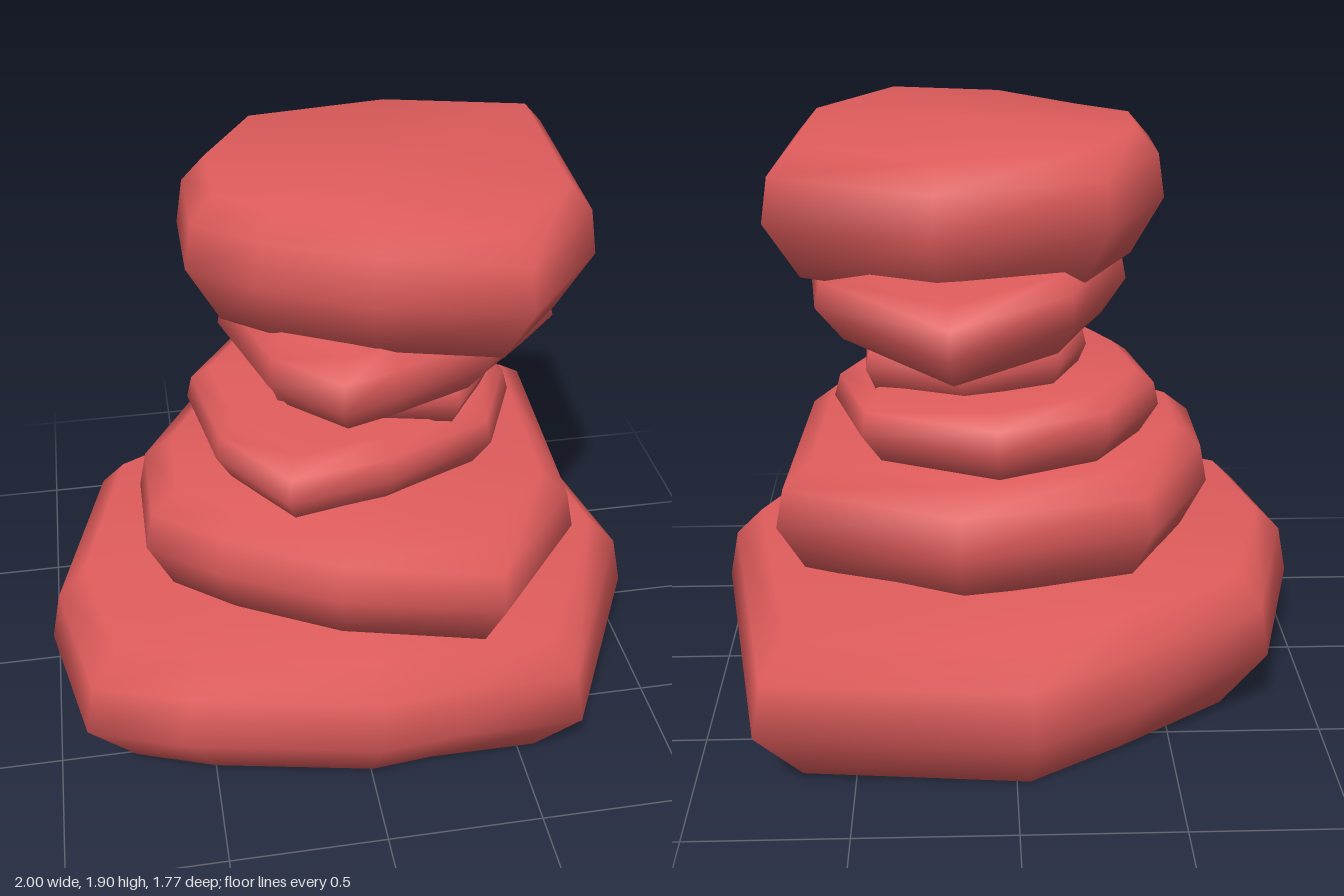
import * as THREE from 'three';

// Three outlines as [x, z], running back -> +x -> front -> -x
const SLAB = [[-0.05, -0.89], [0.79, -0.86], [1, 0.18], [0.66, 0.83], [0.24, 0.85], [0, 0.88],
  [-0.6, 0.73], [-0.9, 0.61], [-1, 0.15], [-0.82, -0.46], [-0.4, -0.71]];
const ROUND = [[-0.68, -0.82], [0.18, -1], [1, -0.7], [0.95, 0.42], [0.49, 1], [-0.2, 0.82],
  [-0.7, 0.5], [-1, 0.25], [-1, -0.25]];
const WEDGE = [[0.05, -0.48], [0.47, -0.34], [0.58, 0.02], [0.45, 0.31], [0.1, 0.48], [-0.23, 0.54],
  [-0.42, 0.25], [-0.48, -0.1], [-0.3, -0.36]];

// Rings from bottom to top, as fractions of the height
const LEVELS = [0, 0.46, 0.8, 1];

// Turns an outline about y, then sizes and shifts it
function place(outline, { cx = 0, cz = 0, sx = 1, sz = 1, turn = 0 }) {
  const c = Math.cos(turn), s = Math.sin(turn);
  return outline.map(([x, z]) => [cx + sx * (x * c + z * s), cz + sz * (z * c - x * s)]);
}

// Lofts scaled copies of an outline into a smooth pebble with domed caps and a wavy, tilted rim
function makeStone(name, material, outline, { y0, y1, cx = 0, cz = 0, foot, head, wave = 0.008, tilt = 0, dome = 0.01 }) {
  const n = outline.length;
  const scales = [foot, 1, 0.965, head];
  const pos = [], index = [];
  LEVELS.forEach((t, r) => {
    for (const [x, z] of outline) {
      const lift = tilt * (z - cz) - wave * Math.sin(3 * Math.atan2(z - cz, x - cx));
      pos.push(cx + (x - cx) * scales[r], y0 + (y1 - y0) * t + lift, cz + (z - cz) * scales[r]);
    }
  });
  const last = n * (LEVELS.length - 1), bottom = last + n, top = bottom + 1;
  pos.push(cx, y0, cz, cx, y1 + dome, cz);
  for (let i = 0; i < n; i++) {
    const j = (i + 1) % n;
    for (let r = 0; r < last; r += n) {
      const a = r + i, b = r + j;
      index.push(a, a + n, b, b, a + n, b + n);
    }
    index.push(i, j, bottom, last + i, top, last + j);
  }
  const geo = new THREE.BufferGeometry();
  geo.setAttribute('position', new THREE.Float32BufferAttribute(pos, 3));
  geo.setIndex(index);
  geo.computeVertexNormals();
  const mesh = new THREE.Mesh(geo, material);
  mesh.name = name;
  return mesh;
}

export function createModel() {
  const group = new THREE.Group();
  group.name = 'stackedStones';
  const material = new THREE.MeshStandardMaterial({ color: 0xe05c5c });
  const add = (name, outline, o) => group.add(makeStone(name, material, place(outline, o), o));

  // Wide base slab
  add('baseStone', SLAB, { y0: 0.035, y1: 0.53, foot: 0.84, head: 0.87, wave: 0.018, dome: 0.015 });
  // Rounded stone resting on the base
  add('secondStone', ROUND, { y0: 0.54, y1: 0.91, cx: 0.045, cz: 0.12, sx: 0.705, sz: 0.675, foot: 0.89, head: 0.84, tilt: 0.015 });
  // Flat wedge-shaped stone
  add('thirdStone', WEDGE, { y0: 0.91, y1: 1.13, foot: 0.88, head: 0.84 });
  // Small spacer stone
  add('smallStone', ROUND, { y0: 1.12, y1: 1.28, cx: 0.12, cz: 0.035, sx: 0.36, sz: 0.345, turn: 0.09, foot: 0.92, head: 0.86 });
  // Turned slab with its sharp corner at the back
  add('fifthStone', SLAB, { y0: 1.28, y1: 1.53, cx: 0.115, cz: 0.01, sx: 0.53, sz: 0.62, turn: 0.62, foot: 0.84, head: 0.86, wave: 0.01, tilt: -0.02 });
  // Thick stone on top
  add('topStone', ROUND, { y0: 1.5, y1: 1.905, cx: 0.13, cz: 0.11, sx: 0.61, sz: 0.59, foot: 0.84, head: 0.85, tilt: 0.015 });
  return group;
}
